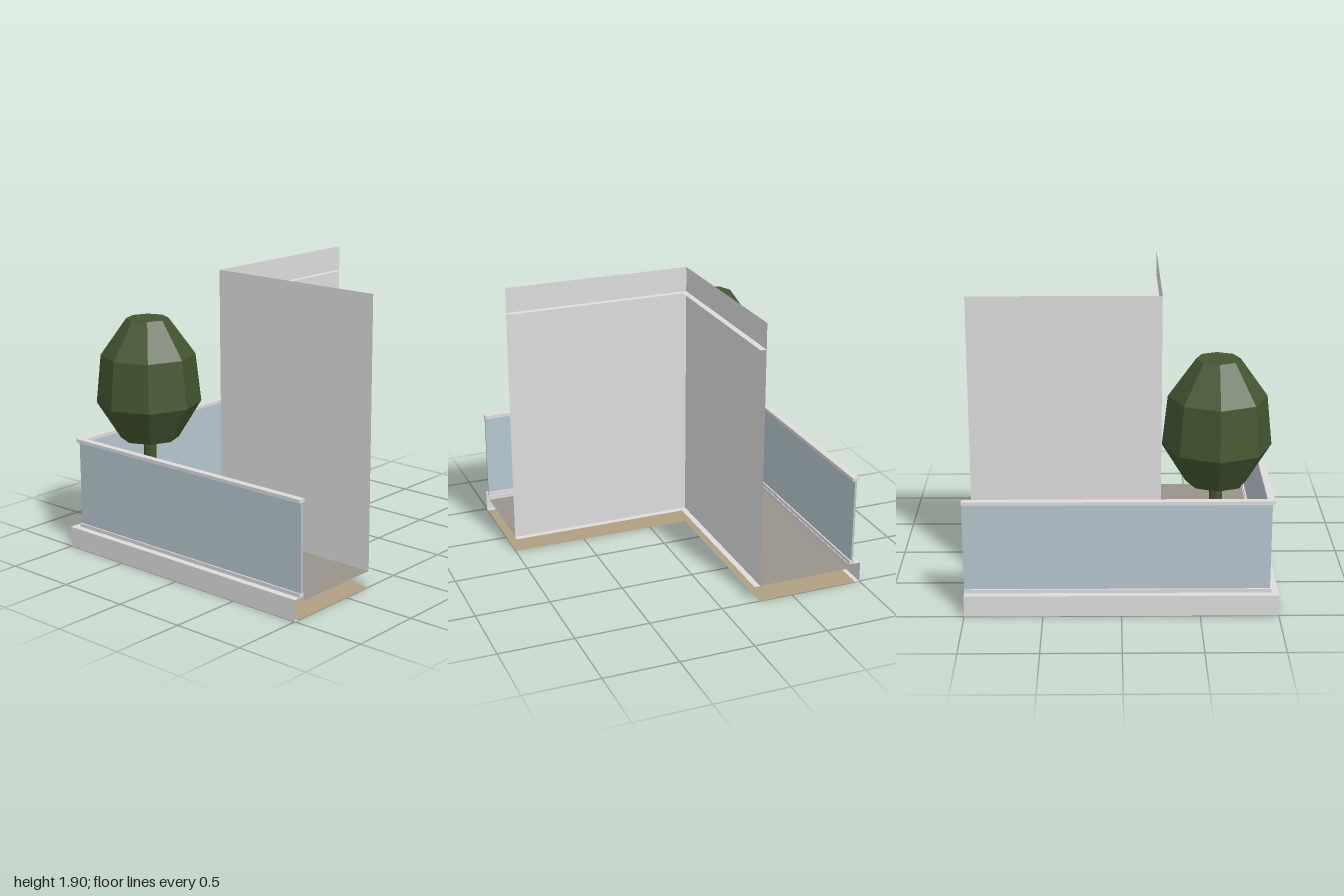
import * as THREE from 'three';

const material = (name, color, extra = {}) => {
  const m = new THREE.MeshStandardMaterial({ color, ...extra });
  m.name = name;
  return m;
};

export function createModel() {
  const group = new THREE.Group();
  const double = { side: THREE.DoubleSide };
  const concrete = material('light concrete', 0xdcdcdc, double);
  const glass = material('blue grey glass', 0xb3c6cd, double);
  const paving = material('paving', 0x98948b, double);
  const timber = material('tan soffit', 0xaf9f80, double);
  const leaf = material('leaf green', 0x43562f, { flatShading: true });
  const stone = material('planter stone', 0xdadada, { flatShading: true });

  const add = (name, geometry, mat) => {
    const mesh = new THREE.Mesh(geometry, mat);
    mesh.name = name;
    group.add(mesh);
    return mesh;
  };

  // L-shaped plan between an outer offset a and an inner offset b
  const plan = (a, b) => new THREE.Shape(
    [[-a, 1], [-a, -a], [1, -a], [1, -b], [-b, -b], [-b, 1]].map(([x, y]) => new THREE.Vector2(x, y)));
  const flat = (name, a, b, y, mat) =>
    add(name, new THREE.ShapeGeometry(plan(a, b)).rotateX(-Math.PI / 2).translate(0, y, 0), mat);
  const solid = (name, a, b, y0, y1, mat) =>
    add(name, new THREE.ExtrudeGeometry(plan(a, b), { depth: y1 - y0, bevelEnabled: false })
      .rotateX(-Math.PI / 2).translate(0, y0, 0), mat);

  // Pair of upright sheets that meet at the corner (-a, a)
  const upright = (name, a, y0, y1, mat) => {
    const geometry = () => new THREE.PlaneGeometry(1 + a, y1 - y0);
    const y = (y0 + y1) / 2;
    add(name + 'Front', geometry().translate((1 - a) / 2, y, a), mat);
    add(name + 'Side', geometry().rotateY(-Math.PI / 2).translate(-a, y, (a - 1) / 2), mat);
  };

  // Hollow balcony base, open at both ends
  upright('fascia', 1, 0, 0.14, concrete);
  flat('kerbTop', 1, 0.915, 0.14, concrete);
  upright('kerbInner', 0.915, 0.11, 0.14, concrete);
  flat('fasciaLip', 1, 0.97, 0, concrete);
  flat('soffit', 0.97, 0.27, 0, timber);
  flat('floor', 0.915, 0.27, 0.11, paving);

  // Building walls with narrow inner ledges
  upright('wall', 0.27, 0.11, 1.905, concrete);
  flat('lowerLedge', 0.27, 0.23, 0.11, concrete);
  flat('upperLedge', 0.27, 0.23, 1.735, concrete);

  // Glass railing
  solid('bottomRail', 0.955, 0.92, 0.14, 0.165, concrete);
  solid('glassPanel', 0.945, 0.93, 0.165, 0.745, glass);
  solid('handrail', 0.96, 0.915, 0.742, 0.765, concrete);

  // Potted tree in the corner
  const place = (mesh, y) => mesh.position.set(-0.61, y, 0.61);
  place(add('planter', new THREE.CylinderGeometry(0.25, 0.25, 0.305, 8), stone), 0.2625);
  place(add('trunk', new THREE.CylinderGeometry(0.042, 0.042, 0.4, 8), leaf), 0.6);
  const crown = [[0, 0.77], [0.195, 0.77], [0.35, 1.02], [0.315, 1.345], [0.14, 1.59], [0, 1.59]]
    .map(([r, y]) => new THREE.Vector2(r, y));
  place(add('crown', new THREE.LatheGeometry(crown, 8), leaf), 0);

  return group;
}
